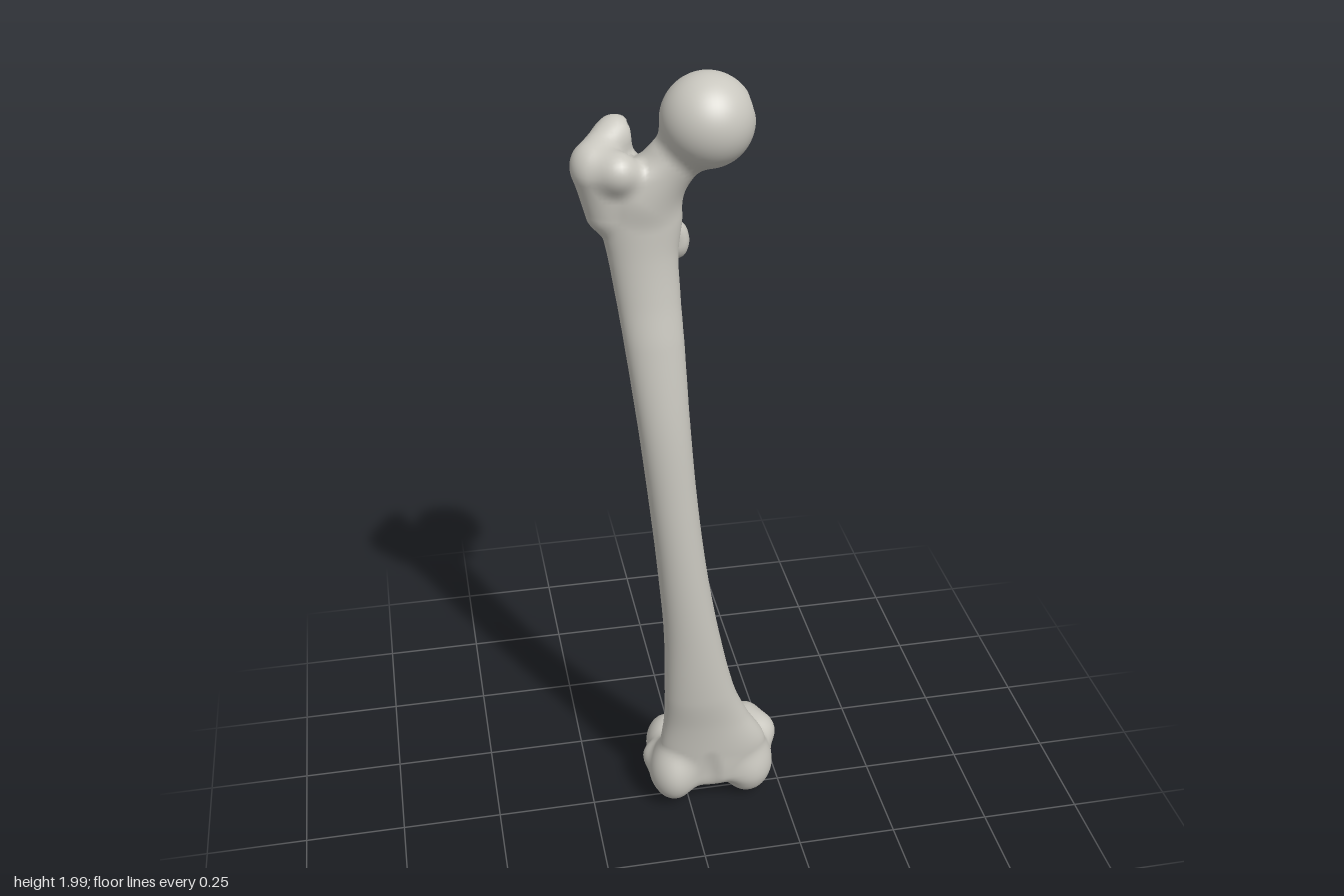
import * as THREE from 'three';

// ---- Solid shapes, each returning a signed distance ----
const ellipsoid = (cx, cy, cz, rx, ry, rz) => (x, y, z) => {
  const a = (x - cx) / rx, b = (y - cy) / ry, c = (z - cz) / rz;
  const k0 = Math.hypot(a, b, c), k1 = Math.hypot(a / rx, b / ry, c / rz);
  return k1 < 1e-6 ? -Math.min(rx, ry, rz) : k0 * (k0 - 1) / k1;
};
const ball = (x, y, z, r) => ellipsoid(x, y, z, r, r, r);
// Rounded rod from a to b with tapering radius
const rod = (a, b, ra, rb) => {
  const dx = b[0] - a[0], dy = b[1] - a[1], dz = b[2] - a[2];
  const len2 = dx * dx + dy * dy + dz * dz;
  return (x, y, z) => {
    const px = x - a[0], py = y - a[1], pz = z - a[2];
    const t = Math.min(1, Math.max(0, (px * dx + py * dy + pz * dz) / len2));
    return Math.hypot(px - t * dx, py - t * dy, pz - t * dz) - (ra + (rb - ra) * t);
  };
};
const smoothMin = (a, b, k) => {
  const h = Math.max(k - Math.abs(a - b), 0) / k;
  return Math.min(a, b) - h * h * k * 0.25;
};

// Shaft outline: height, right edge, left edge, front, back
const SHAFT = [
  [0.10, -0.07, 0.19, 0.08, -0.05], [0.20, -0.075, 0.20, 0.09, -0.05],
  [0.30, -0.066, 0.15, 0.10, -0.036], [0.40, -0.066, 0.11, 0.115, -0.018],
  [0.60, -0.07, 0.064, 0.13, 0.0], [0.80, -0.086, 0.03, 0.139, 0.01],
  [1.00, -0.106, 0.006, 0.141, 0.016], [1.20, -0.128, -0.01, 0.136, 0.015],
  [1.40, -0.152, -0.02, 0.116, 0.0], [1.50, -0.165, -0.025, 0.102, -0.018],
  [1.60, -0.18, -0.028, 0.094, -0.03], [1.70, -0.198, -0.02, 0.093, -0.03],
  [1.80, -0.20, -0.05, 0.09, -0.015],
];
// Smooth interpolation of the outline at any height
function outlineAt(y) {
  const n = SHAFT.length;
  let i = 0;
  while (i < n - 2 && y > SHAFT[i + 1][0]) i++;
  const p = SHAFT[Math.max(i - 1, 0)], a = SHAFT[i], b = SHAFT[i + 1], q = SHAFT[Math.min(i + 2, n - 1)];
  const h = b[0] - a[0], t = Math.min(1, Math.max(0, (y - a[0]) / h));
  const t2 = t * t, t3 = t2 * t;
  return [1, 2, 3, 4].map((j) => {
    const m0 = (b[j] - p[j]) / (b[0] - p[0]) * h, m1 = (q[j] - a[j]) / (q[0] - a[0]) * h;
    return (2 * t3 - 3 * t2 + 1) * a[j] + (t3 - 2 * t2 + t) * m0 + (3 * t2 - 2 * t3) * b[j] + (t3 - t2) * m1;
  });
}
let lastY = NaN, outline;
function shaft(x, y, z) {
  if (y !== lastY) { outline = outlineAt(y); lastY = y; }
  const [l, r, f, b] = outline;
  const rz = (f - b) / 2, v = (z - (f + b) / 2) / rz;
  // narrower behind, where the long ridge runs
  const rx = (r - l) / 2 * (1 + 0.16 * Math.max(-1, Math.min(1, v)));
  const d = (Math.hypot((x - (l + r) / 2) / rx, v) - 1) * Math.min(rx, rz);
  return -smoothMin(-d, -Math.max(y - 1.8, 0.09 - y), 0.03);
}

// ---- Parts of the bone, blended in order; k is the blend width ----
const PARTS = [
  { name: 'shaft', k: 0.03, solids: [shaft] },
  { name: 'neck', k: 0.035, solids: [rod([-0.10, 1.74, 0.035], [0.02, 1.88, 0.06], 0.058, 0.056)] },
  { name: 'greaterTrochanter', k: 0.025, solids: [
    rod([-0.185, 1.70, 0.03], [-0.197, 1.79, 0.035], 0.04, 0.053),
    rod([-0.205, 1.81, 0.02], [-0.148, 1.846, -0.036], 0.042, 0.04),
    rod([-0.152, 1.83, -0.036], [-0.135, 1.64, -0.012], 0.038, 0.022),
    ball(-0.158, 1.80, 0.07, 0.042),
  ] },
  { name: 'lesserTrochanter', k: 0.025, solids: [
    ellipsoid(-0.018, 1.6, -0.02, 0.027, 0.042, 0.029),
    rod([-0.03, 1.63, -0.012], [-0.125, 1.78, -0.035], 0.018, 0.025),
  ] },
  { name: 'kneeGroove', k: 0.025, solids: [ellipsoid(0.06, 0.145, 0.025, 0.10, 0.085, 0.05)] },
  { name: 'leftCondyle', k: 0.025, solids: [
    ellipsoid(0.178, 0.108, -0.085, 0.064, 0.094, 0.085),
    ellipsoid(0.158, 0.104, 0.0, 0.07, 0.088, 0.082),
    ball(0.203, 0.15, -0.05, 0.046),
  ] },
  { name: 'rightCondyle', k: 0.025, solids: [
    ellipsoid(-0.035, 0.112, -0.082, 0.058, 0.08, 0.081),
    ellipsoid(-0.04, 0.122, 0.02, 0.062, 0.088, 0.078),
    ball(-0.078, 0.135, -0.02, 0.034),
  ] },
  { name: 'head', k: 0.022, solids: [ball(0.03, 1.9, 0.067, 0.1)] },
];
// Hollows: gap between condyles, front groove, pit beside the neck, dent in the head
const HOLLOWS = [
  ellipsoid(0.07, 0.07, -0.165, 0.038, 0.12, 0.09),
  rod([0.07, 0.04, -0.2], [0.062, 0.03, -0.02], 0.038, 0.03),
  ellipsoid(0.045, 0.10, 0.115, 0.035, 0.11, 0.04),
  ball(-0.10, 1.845, -0.045, 0.03),
  ball(0.137, 1.932, 0.072, 0.02),
];
function field(x, y, z) {
  let d = 1;
  for (const p of PARTS) for (const s of p.solids) d = smoothMin(d, s(x, y, z), p.k);
  for (const h of HOLLOWS) d = -smoothMin(-d, h(x, y, z), 0.018);
  return d;
}
function partAt(x, y, z) {
  let best = 0, min = Infinity;
  PARTS.forEach((p, i) => {
    for (const s of p.solids) { const d = s(x, y, z); if (d < min) { min = d; best = i; } }
  });
  return best;
}
function gradient([x, y, z]) {
  const e = 0.003;
  return [field(x + e, y, z) - field(x - e, y, z), field(x, y + e, z) - field(x, y - e, z),
    field(x, y, z + e) - field(x, y, z - e)].map((v) => v / (2 * e));
}

// ---- Skin the blended solid on a grid; returns vertices and quads per part ----
function skin() {
  const S = 0.01, O = [-0.3, -0.04, -0.22], N = [60, 210, 44];
  const step = [1, N[0], N[0] * N[1]];
  const val = new Float32Array(N[0] * N[1] * N[2]);
  for (let j = 0; j < N[1]; j++) for (let k = 0; k < N[2]; k++) for (let i = 0; i < N[0]; i++)
    val[i + j * step[1] + k * step[2]] = field(O[0] + i * S, O[1] + j * S, O[2] + k * S);

  const cell = new Map(), points = [], normals = [];
  const faces = PARTS.map(() => []);
  const eachCell = (fn) => {
    for (let k = 1; k < N[2] - 1; k++) for (let j = 1; j < N[1] - 1; j++) for (let i = 1; i < N[0] - 1; i++)
      fn([i, j, k], i + j * step[1] + k * step[2]);
  };
  // one vertex in each cell the surface crosses
  eachCell((c, id) => {
    const sum = [0, 0, 0];
    let n = 0;
    for (let m = 0; m < 8; m++) for (let a = 0; a < 3; a++) {
      if (m >> a & 1) continue;
      const o = [m & 1, m >> 1 & 1, m >> 2 & 1];
      const p = id + o[0] + o[1] * step[1] + o[2] * step[2];
      const u = val[p], v = val[p + step[a]];
      if ((u < 0) === (v < 0)) continue;
      o[a] = u / (u - v);
      o.forEach((w, t) => { sum[t] += w; });
      n++;
    }
    if (!n) return;
    const pt = sum.map((s, a) => O[a] + (c[a] + s / n) * S);
    const g = gradient(pt), len = Math.hypot(...g) || 1;
    const off = Math.max(-0.004, Math.min(0.004, field(...pt) / len));
    cell.set(id, points.length);
    points.push(pt.map((v, a) => v - g[a] / len * off));
    normals.push(g.map((v) => v / len));
  });
  // one quad around each grid edge the surface crosses
  eachCell((c, id) => {
    for (let a = 0; a < 3; a++) {
      const inside = val[id] < 0;
      if (inside === (val[id + step[a]] < 0)) continue;
      const b = step[(a + 1) % 3], d = step[(a + 2) % 3];
      const q = [id - b - d, id - d, id, id - b].map((v) => cell.get(v));
      if (q.includes(undefined)) continue;
      if (!inside) q.reverse();
      const list = faces[partAt(...points[q[0]])];
      list.push(q[0], q[1], q[2], q[0], q[2], q[3]);
    }
  });
  return { points, normals, faces };
}

export function createModel() {
  const bone = new THREE.MeshStandardMaterial({ color: 0xc9c7bf });
  bone.name = 'bone grey';
  const group = new THREE.Group();
  group.name = 'thighBone';
  const { points, normals, faces } = skin();
  PARTS.forEach((part, i) => {
    const used = [...new Set(faces[i])];
    if (!used.length) return;
    const renumber = new Map(used.map((v, n) => [v, n]));
    const geo = new THREE.BufferGeometry();
    geo.setAttribute('position', new THREE.Float32BufferAttribute(used.flatMap((v) => points[v]), 3));
    geo.setAttribute('normal', new THREE.Float32BufferAttribute(used.flatMap((v) => normals[v]), 3));
    geo.setIndex(faces[i].map((v) => renumber.get(v)));
    const mesh = new THREE.Mesh(geo, bone);
    mesh.name = part.name;
    group.add(mesh);
  });
  return group;
}
